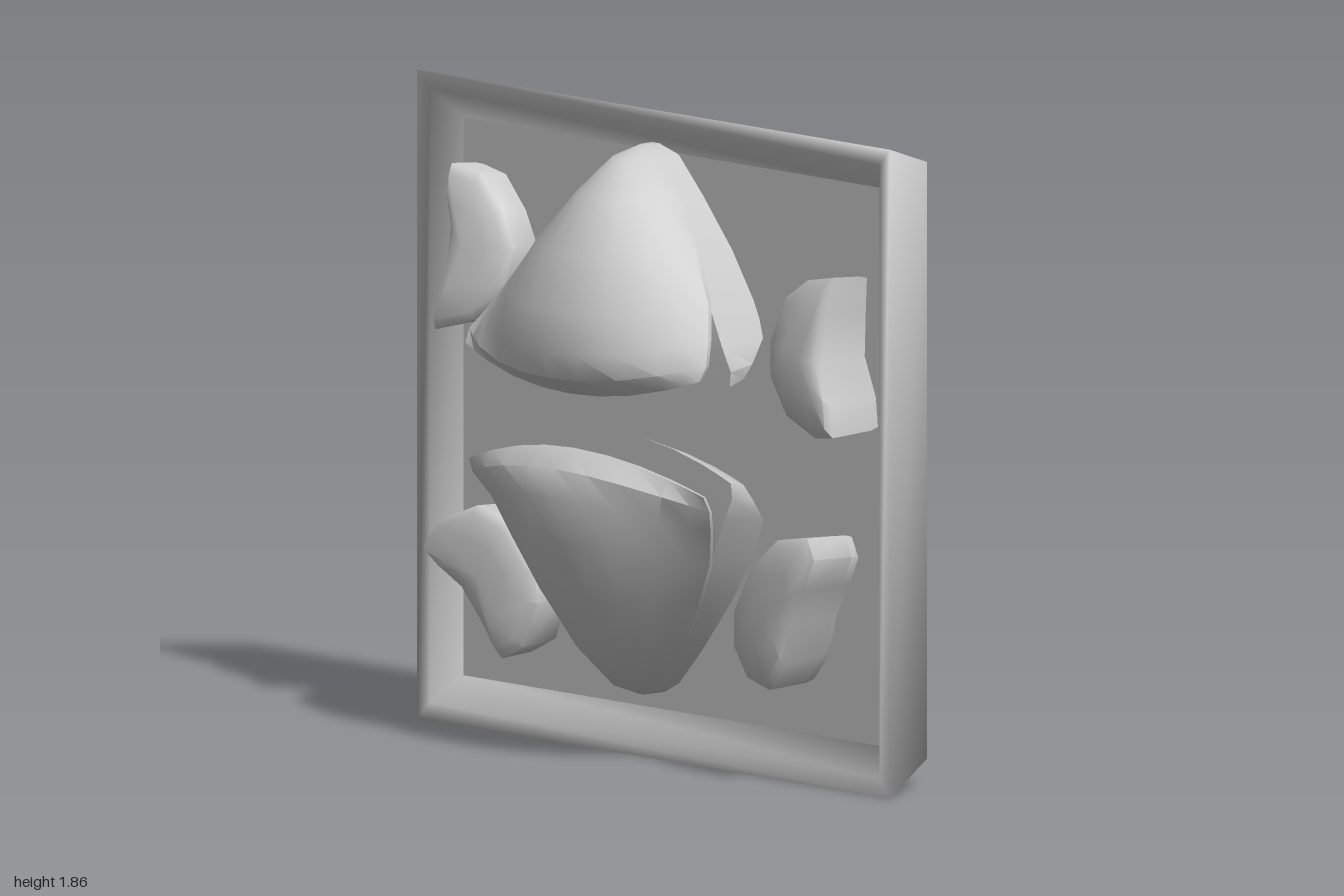
import * as THREE from 'three';
import { toCreasedNormals } from 'three/addons/utils/BufferGeometryUtils.js';

const grey = new THREE.MeshStandardMaterial({ color: 0xcccccc, side: THREE.DoubleSide });

// Skin a list of closed rings; optional caps join opposite points of the first and last ring.
function loft(rings, capFirst, capLast) {
  const n = rings[0].length, idx = [];
  for (let i = 0; i < rings.length - 1; i++) {
    for (let j = 0; j < n; j++) {
      const k = (j + 1) % n, a = i * n + j, b = i * n + k, c = b + n, d = a + n;
      idx.push(a, d, c, a, c, b);
    }
  }
  const cap = (row, last) => {
    const tri = (a, b, c) => idx.push(row * n + a, row * n + (last ? c : b), row * n + (last ? b : c));
    for (let lo = 0, hi = n - 1; hi - lo > 1; lo++, hi--) {
      tri(lo, lo + 1, hi);
      if (hi - lo > 2) tri(lo + 1, hi - 1, hi);
    }
  };
  if (capFirst) cap(0, false);
  if (capLast) cap(rings.length - 1, true);
  const g = new THREE.BufferGeometry();
  g.setAttribute('position', new THREE.Float32BufferAttribute(rings.flat(2), 3));
  g.setIndex(idx);
  g.computeVertexNormals();
  return g;
}

function add(group, name, geometry) {
  const mesh = new THREE.Mesh(geometry, grey);
  mesh.name = name;
  group.add(mesh);
}

// Rectangle ring of half sizes w, h around the middle of the frame
const rect = ([w, h, z]) => [[w, 0.93 + h, z], [-w, 0.93 + h, z], [-w, 0.93 - h, z], [w, 0.93 - h, z]];

// Petal rows from tip to mouth: distance from tip, half width, edge z, centre front z, rear-plate back z
const ROWS = [
  [0.0, 0.015, -0.07, -0.05, -0.17],
  [0.03, 0.08, -0.06, 0.04, -0.16],
  [0.13, 0.185, -0.03, 0.15, -0.14],
  [0.27, 0.315, 0.02, 0.24, -0.14],
  [0.40, 0.41, 0.06, 0.295, -0.14],
  [0.50, 0.465, 0.11, 0.31, -0.12],
  [0.56, 0.5, 0.15, 0.295, -0.05],
  [0.60, 0.495, 0.17, 0.22, -0.02],
];
const ACROSS = [-1, -0.9, -0.75, -0.5, -0.25, 0, 0.25, 0.5, 0.75, 0.9, 1];

function petal(tipY, dir, stretch, depth, rear) {
  const rings = ROWS.map(([d, w, edge, mid, back]) => {
    const point = (u, z, reach) => {
      const bow = 0.085 * (d / 0.6) ** 2 * (1 - u * u);
      return [-0.045 + u * w, tipY + dir * (d + bow) * stretch * reach, z > 0 ? z * depth : z];
    };
    const front = ACROSS.map(u => {
      if (rear) return point(u, Math.min(edge - 0.01, 0.055), 1.045);
      return point(u, edge + (mid - edge) * (1 - Math.abs(u) ** 2.5), 1);
    });
    const behind = [...ACROSS].reverse().map(u => {
      const round = 1 - u * u;
      if (rear) return point(u * 0.95, back + (back < -0.1 ? 0.03 * round : 0), 1.01);
      return point(u * 0.98, edge - 0.02 + 0.045 * round * (d / 0.6) ** 4, 0.99);
    });
    const ring = [...front, ...behind];
    return dir > 0 ? ring.reverse() : ring;
  });
  return toCreasedNormals(loft(rings, true, true), 0.75);
}

// Curved side pieces: outlines around the petals
const PIECES = {
  upperRightPiece: [[-0.8, 1.62], [-0.7, 1.6], [-0.61, 1.5], [-0.56, 1.4], [-0.58, 1.28], [-0.66, 1.19],
    [-0.8, 1.15], [-0.79, 1.22], [-0.77, 1.35], [-0.77, 1.45], [-0.8, 1.56]],
  upperLeftPiece: [[0.83, 1.48], [0.72, 1.46], [0.63, 1.4], [0.585, 1.28], [0.6, 1.17], [0.67, 1.07],
    [0.8, 1.02], [0.88, 1.03], [0.87, 1.12], [0.82, 1.24], [0.825, 1.38]],
  lowerLeftPiece: [[0.8, 0.67], [0.77, 0.73], [0.64, 0.71], [0.52, 0.62], [0.44, 0.48], [0.44, 0.38],
    [0.5, 0.3], [0.6, 0.275], [0.67, 0.36], [0.7, 0.48], [0.76, 0.58]],
  lowerRightPiece: [[-0.85, 0.52], [-0.8, 0.6], [-0.65, 0.66], [-0.53, 0.62], [-0.44, 0.5], [-0.43, 0.4],
    [-0.48, 0.27], [-0.56, 0.23], [-0.62, 0.32], [-0.7, 0.42], [-0.8, 0.48]],
};

function sidePiece(outline) {
  const pts = outline.map(p => new THREE.Vector2(...p));
  if (THREE.ShapeUtils.isClockWise(pts)) pts.reverse();
  const c = pts.reduce((s, p) => s.add(p), new THREE.Vector2()).divideScalar(pts.length);
  const xs = pts.map(p => Math.abs(p.x)), lo = Math.min(...xs), hi = Math.max(...xs);
  const inner = c.x > 0 ? 0.045 : 0.01;
  // scale, lift above the tilted face, fixed back z
  const steps = [[0, 0.015], [0.5, 0.013], [0.88, 0.004], [1, -0.015],
    [0.97, 0, -0.1], [0.92, 0, -0.145], [0.65, 0, -0.12]];
  const rings = steps.map(([s, lift, back]) => pts.map(p => {
    const q = p.clone().sub(c).multiplyScalar(s).add(c);
    const across = (Math.abs(q.x) - lo) / (hi - lo);
    const face = inner + (0.065 - inner) * across - 0.15 * Math.max(0, q.y - 1.2);
    return [q.x, q.y, back ?? face + lift];
  }));
  return toCreasedNormals(loft(rings, false, true), 0.9);
}

export function createModel() {
  const group = new THREE.Group();

  // Hollow frame: sloped lip, flat rim, tapering outer wall
  add(group, 'frame', loft([
    [0.88, 0.80, -0.13], [0.95, 0.88, -0.065], [1, 0.93, -0.06], [0.88, 0.855, -0.31],
  ].map(rect), false, false));

  // Panel closing the frame, with a tapered skirt that is open at the back
  const panel = loft([[0.88, 0.80, -0.13], [0.718, 0.585, -0.275]].map(rect), true, false);
  add(group, 'panel', toCreasedNormals(panel, 0.3));

  // Upper and lower petals, each a domed front and a plate behind it
  for (const [label, tip, dir, stretch, depth] of [['upper', 1.755, -1, 1, 1], ['lower', 0.18, 1, 1.07, 0.92]]) {
    add(group, label + 'Petal', petal(tip, dir, stretch, depth, false));
    add(group, label + 'RearPlate', petal(tip, dir, stretch, depth, true));
  }

  for (const [name, outline] of Object.entries(PIECES)) add(group, name, sidePiece(outline));
  return group;
}
